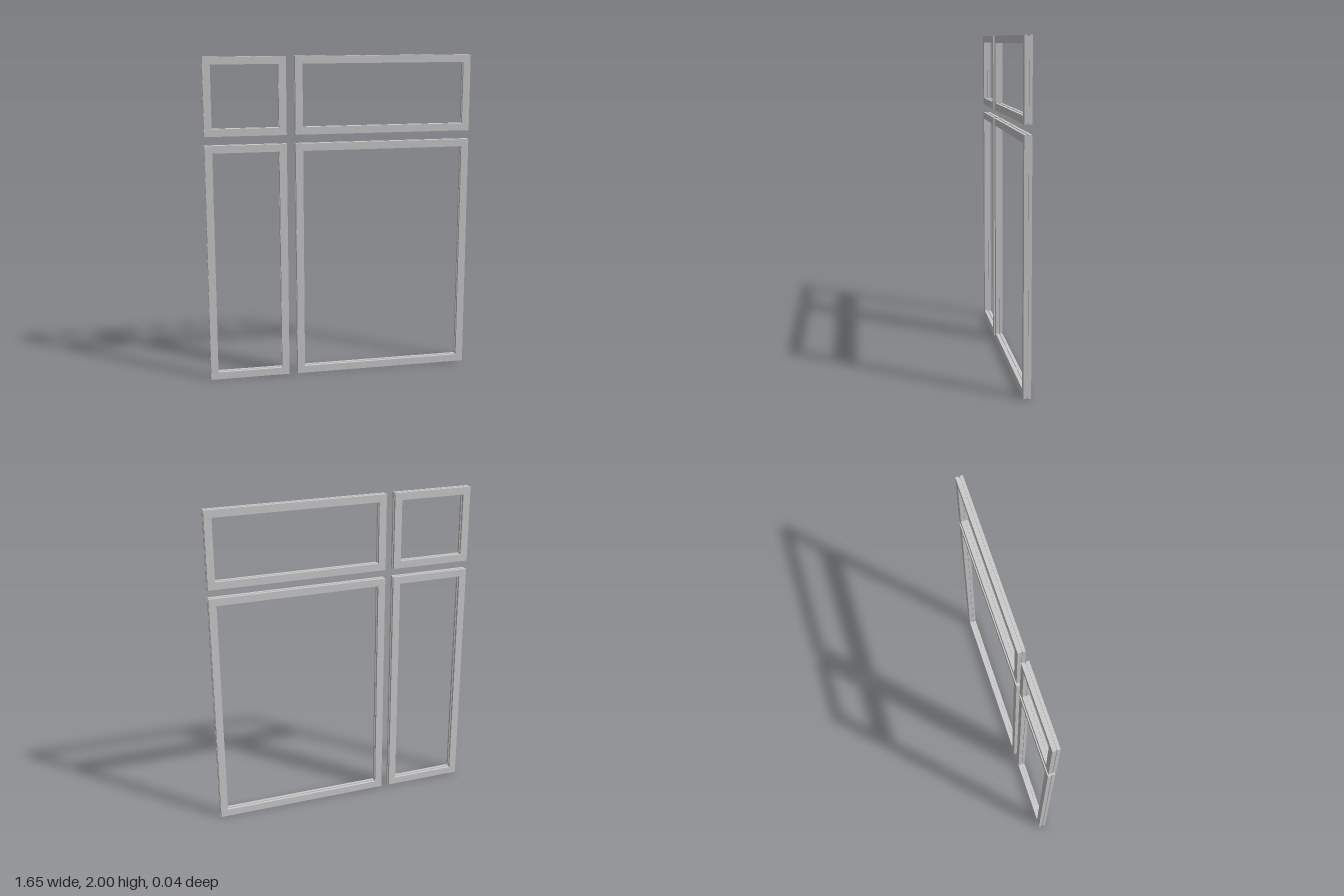
import * as THREE from 'three';

const BAR = 0.045;      // face width of the frame bars
const HALF = 0.022;     // half the frame depth
const GROOVE = 0.004;   // half the groove width
const CUT = 0.006;      // groove depth

// Bar section as [inset from outer edge, z]: a grooved rectangle
const SECTION = [
  [0, HALF], [0, GROOVE], [CUT, GROOVE], [CUT, -GROOVE], [0, -GROOVE], [0, -HALF],
  [BAR, -HALF], [BAR, -GROOVE], [BAR - CUT, -GROOVE], [BAR - CUT, GROOVE], [BAR, GROOVE], [BAR, HALF],
];

// Sweep the section around a rectangle with mitred corners
function frameGeometry(x0, x1, y0, y1) {
  const rings = [[x0, y0, 1, 1], [x1, y0, -1, 1], [x1, y1, -1, -1], [x0, y1, 1, -1]]
    .map(([x, y, sx, sy]) => SECTION.map(([u, z]) => [x + sx * u, y + sy * u, z]));
  const positions = [];
  for (let i = 0; i < 4; i++) {
    const ring = rings[i], next = rings[(i + 1) % 4];
    for (let j = 0; j < SECTION.length; j++) {
      const k = (j + 1) % SECTION.length;
      const a = ring[j], b = ring[k], c = next[k], d = next[j];
      positions.push(...a, ...b, ...c, ...a, ...c, ...d);
    }
  }
  const geometry = new THREE.BufferGeometry();
  geometry.setAttribute('position', new THREE.Float32BufferAttribute(positions, 3));
  geometry.computeVertexNormals();
  return geometry;
}

export function createModel() {
  const model = new THREE.Group();
  model.name = 'windowFrames';
  const material = new THREE.MeshStandardMaterial({ color: 0xcccccc });

  // Two columns by two rows of separate sash frames
  const columns = [['Narrow', -0.825, -0.33], ['Wide', -0.275, 0.825]];
  const rows = [['lower', 0, 1.475], ['upper', 1.53, 2]];
  for (const [column, x0, x1] of columns) {
    for (const [row, y0, y1] of rows) {
      const frame = new THREE.Mesh(frameGeometry(x0, x1, y0, y1), material);
      frame.name = `${row}${column}Frame`;
      model.add(frame);
    }
  }
  return model;
}
